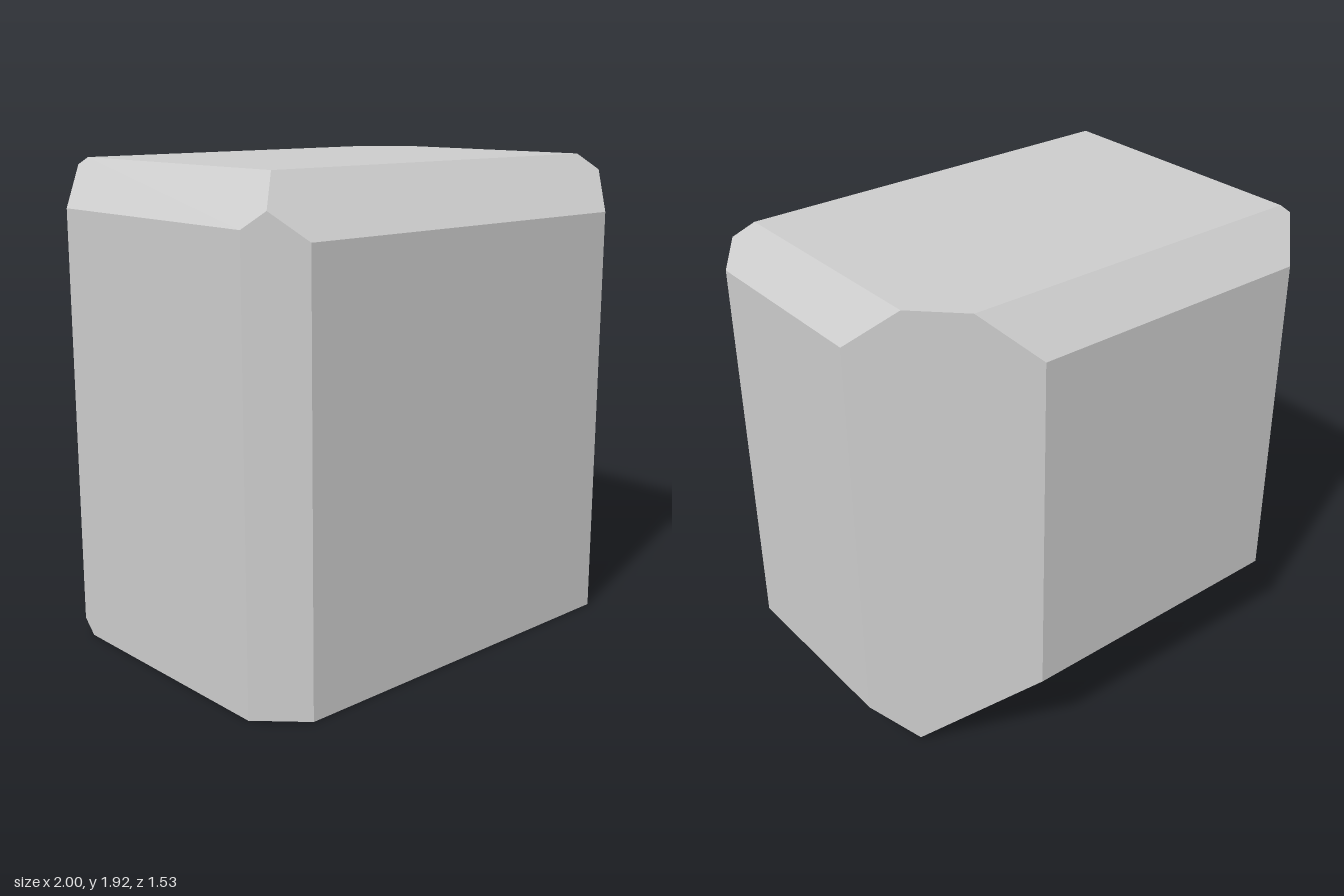
import * as THREE from 'three';

// Each flat face of the block: outward direction and limit, n . p <= d
const FACES = [
  // main sides
  [1, 0, 0, 1], [-1, 0, 0, 1],
  [0, 1, 0, 1.925], [0, -1, 0, 0],
  [0, 0, 1, 0.765], [0, 0, -1, 0.765],
  // top bevels: front, back, left, right
  [0, 1, 1, 2.467], [0, 1, -1, 2.522], [1, 1, 0, 2.775], [-1, 1, 0, 2.742],
  // upright bevels
  [1, 0, 1, 1.523], [-1, 0, 1, 1.6], [1, 0, -1, 1.275], [-1, 0, -1, 1.47],
  // bottom bevels
  [1, -1, 0, 0.85], [0, -1, -1, 0.412],
];

// Corners are the points where three faces meet inside all the others
function findCorners(faces) {
  const corners = [];
  const m = new THREE.Matrix3();
  for (let i = 0; i < faces.length; i++)
    for (let j = i + 1; j < faces.length; j++)
      for (let k = j + 1; k < faces.length; k++) {
        const [a, b, c] = [faces[i], faces[j], faces[k]];
        m.set(a[0], a[1], a[2], b[0], b[1], b[2], c[0], c[1], c[2]);
        if (Math.abs(m.determinant()) < 1e-6) continue;
        const p = new THREE.Vector3(a[3], b[3], c[3]).applyMatrix3(m.invert());
        const inside = faces.every(([x, y, z, d]) => p.x * x + p.y * y + p.z * z <= d + 1e-6);
        if (inside && !corners.some((q) => q.distanceTo(p) < 1e-5)) corners.push(p);
      }
  return corners;
}

// Sort the corners of every face around its centre and fill it as a fan
function bevelledBlock(faces) {
  const corners = findCorners(faces);
  const position = [];
  for (const [x, y, z, d] of faces) {
    const ring = corners.filter((p) => Math.abs(p.x * x + p.y * y + p.z * z - d) < 1e-5);
    if (ring.length < 3) continue;
    const n = new THREE.Vector3(x, y, z).normalize();
    const centre = ring.reduce((s, p) => s.add(p), new THREE.Vector3()).divideScalar(ring.length);
    const u = ring[0].clone().sub(centre).normalize();
    const v = n.clone().cross(u);
    const angle = (p) => {
      const r = p.clone().sub(centre);
      return Math.atan2(r.dot(v), r.dot(u));
    };
    ring.sort((p, q) => angle(p) - angle(q));
    for (let i = 1; i < ring.length - 1; i++)
      for (const p of [ring[0], ring[i], ring[i + 1]]) position.push(p.x, p.y, p.z);
  }
  const geometry = new THREE.BufferGeometry();
  geometry.setAttribute('position', new THREE.Float32BufferAttribute(position, 3));
  geometry.computeVertexNormals();
  return geometry;
}

export function createModel() {
  const group = new THREE.Group();
  group.name = 'bevelledStone';
  const material = new THREE.MeshStandardMaterial({ color: 0xcccccc, flatShading: true });
  const block = new THREE.Mesh(bevelledBlock(FACES), material);
  block.name = 'stoneBlock';
  group.add(block);
  return group;
}
